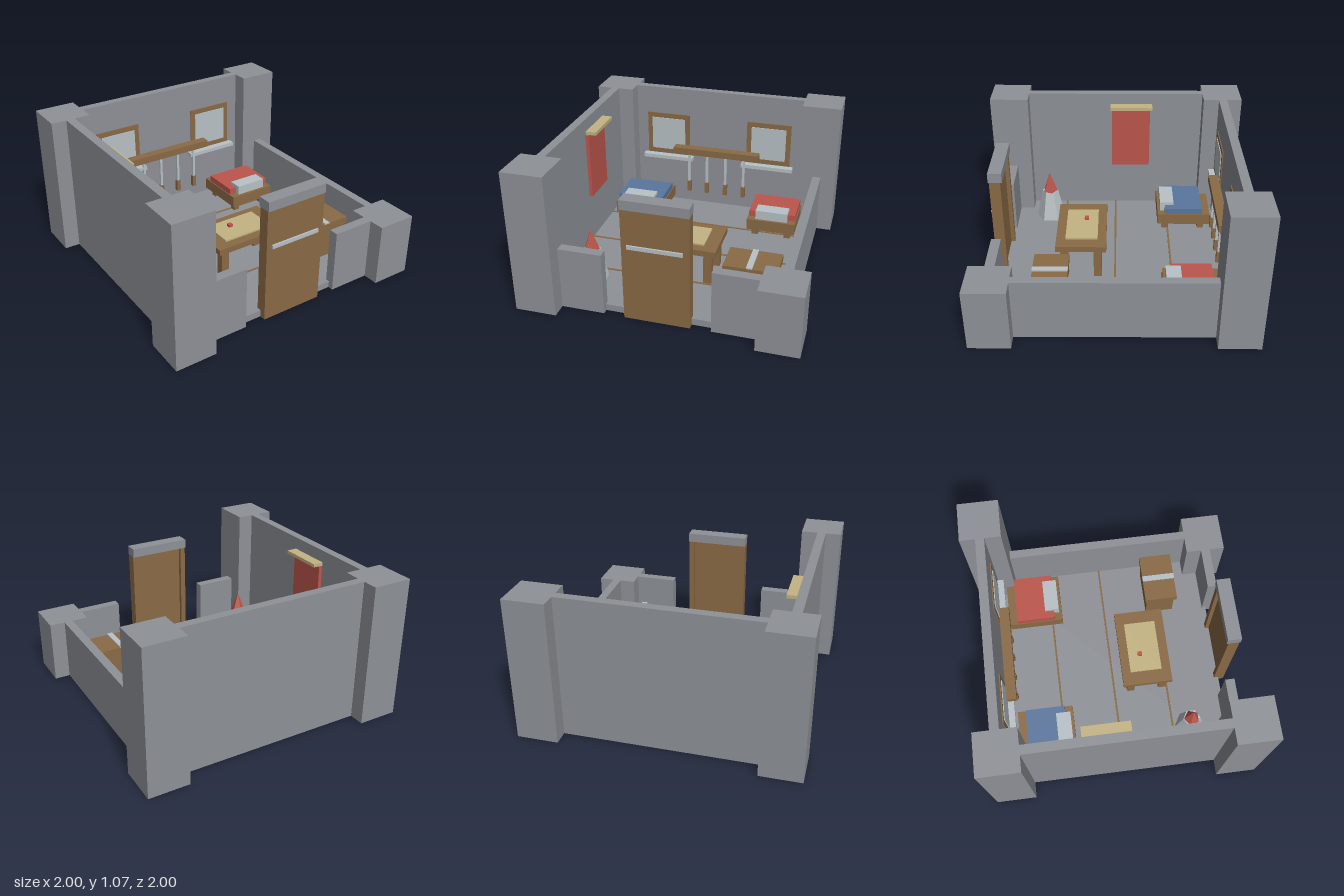
import * as THREE from 'three';

const material = (name, color) => {
  const m = new THREE.MeshStandardMaterial({ color });
  m.name = name;
  return m;
};

export function createModel() {
  const stone = material('stone', 0x8e9197);
  const wood = material('wood', 0x8a6a45);
  const red = material('red cloth', 0xbc564c);
  const blue = material('blue cloth', 0x5a769e);
  const cream = material('parchment', 0xc4b483);
  const pale = material('pale metal', 0xb9c2c7);

  const model = new THREE.Group();
  model.name = 'guardRoom';

  // Box given by its lower and upper limits on each axis
  const box = (name, mat, [x0, x1], [y0, y1], [z0, z1], parent = model) => {
    const mesh = new THREE.Mesh(new THREE.BoxGeometry(x1 - x0, y1 - y0, z1 - z0), mat);
    mesh.position.set((x0 + x1) / 2, (y0 + y1) / 2, (z0 + z1) / 2);
    mesh.name = name;
    parent.add(mesh);
    return mesh;
  };
  const group = (name) => {
    const g = new THREE.Group();
    g.name = name;
    model.add(g);
    return g;
  };

  const FLOOR = 0.05, HIGH = 1.065, LOW = 0.47;

  // Floor with thin wooden strips
  box('floor', stone, [-0.85, 0.85], [0, FLOOR], [-0.85, 0.845]);
  for (const z of [-0.43, 0, 0.42])
    box('floorStrip', wood, [-0.82, 0.82], [FLOOR, 0.055], [z - 0.007, z + 0.007]);

  // Corner pillars, one cut low
  for (const sx of [-1, 1]) for (const sz of [-1, 1]) {
    const height = sx > 0 && sz > 0 ? LOW : HIGH;
    const span = (s) => (s > 0 ? [0.7, 1] : [-1, -0.7]);
    box('cornerPillar', stone, span(sx), [0, height], span(sz));
  }

  // Walls: high at the back and right side, low at the left side and front
  box('backWall', stone, [-0.7, 0.7], [0, HIGH], [-0.885, -0.82]);
  box('rightWall', stone, [-0.885, -0.82], [0, HIGH], [-0.7, 0.7]);
  box('leftWall', stone, [0.82, 0.885], [0, LOW], [-0.7, 0.7]);
  box('frontWallRight', stone, [-0.7, -0.385], [0, LOW], [0.815, 0.885]);
  box('frontWallLeft', stone, [0.38, 0.7], [0, LOW], [0.815, 0.885]);

  // Door with back posts, stone lintel and bar
  const door = group('door');
  box('doorPanel', wood, [-0.235, 0.235], [0, 0.85], [0.84, 0.89], door);
  for (const s of [-1, 1])
    box('doorPost', wood, [s * 0.215 - 0.02, s * 0.215 + 0.02], [0, 0.85], [0.81, 0.84], door);
  box('doorLintel', stone, [-0.235, 0.235], [0.85, 0.92], [0.797, 0.897], door);
  box('doorBar', pale, [-0.195, 0.19], [0.562, 0.59], [0.89, 0.902], door);

  // Windows with frames and sills
  for (const s of [-1, 1]) {
    const win = group('window');
    const cx = s * 0.4275;
    box('windowFrame', wood, [cx - 0.1825, cx + 0.1825], [0.48, 0.84], [-0.82, -0.812], win);
    box('windowPane', pale, [cx - 0.143, cx + 0.143], [0.522, 0.8], [-0.812, -0.806], win);
    box('windowSill', pale, [s * 0.425 - 0.215, s * 0.425 + 0.215], [0.445, 0.475], [-0.82, -0.765], win);
  }

  // Rack beam with hanging blades
  const rack = group('weaponRack');
  box('rackBeam', wood, [-0.365, 0.36], [0.52, 0.575], [-0.81, -0.735], rack);
  for (const x of [-0.235, -0.08, 0.08, 0.235]) {
    box('blade', pale, [x - 0.01, x + 0.01], [0.265, 0.52], [-0.78, -0.76], rack);
    box('bladeHandle', wood, [x - 0.016, x + 0.016], [0.17, 0.265], [-0.786, -0.754], rack);
  }

  // Beds
  const bed = (cx, cloth) => {
    const g = group('bed');
    box('bedFrame', wood, [cx - 0.192, cx + 0.192], [0.11, 0.2], [-0.77, -0.345], g);
    box('blanket', cloth, [cx - 0.185, cx + 0.185], [0.2, 0.25], [-0.705, -0.405], g);
    box('pillow', pale, [cx - 0.127, cx + 0.127], [0.2, 0.275], [-0.475, -0.365], g);
    for (const s of [-1, 1]) for (const z of [-0.7, -0.41])
      box('bedLeg', wood, [cx + s * 0.13 - 0.025, cx + s * 0.13 + 0.025], [FLOOR, 0.11], [z - 0.025, z + 0.025], g);
  };
  bed(-0.557, blue);
  bed(0.552, red);

  // Wall banner under its rail
  box('banner', red, [-0.82, -0.793], [0.43, 0.94], [-0.28, 0.03]);
  box('bannerRail', cream, [-0.81, -0.73], [0.955, 0.98], [-0.295, 0.043]);

  // Table with map and marker
  const table = group('table');
  box('tableTop', wood, [-0.3, 0.295], [0.295, 0.34], [0.065, 0.44], table);
  for (const sx of [-1, 1]) for (const z of [0.13, 0.38])
    box('tableLeg', wood, [sx * 0.23 - 0.03, sx * 0.23 + 0.03], [FLOOR, 0.295], [z - 0.03, z + 0.03], table);
  box('map', cream, [-0.2, 0.195], [0.34, 0.352], [0.13, 0.37], table);
  box('mapMarker', red, [-0.08, -0.048], [0.352, 0.372], [0.203, 0.235], table);

  // Chest with lid and strap
  const chest = group('chest');
  box('chestBody', wood, [0.4, 0.745], [FLOOR, 0.29], [0.345, 0.565], chest);
  box('chestLid', wood, [0.38, 0.762], [0.29, 0.34], [0.33, 0.582], chest);
  box('chestStrap', pale, [0.545, 0.588], [0.34, 0.35], [0.33, 0.584], chest);

  // Brazier: six-sided stand with a five-sided flame
  const brazier = group('brazier');
  const stand = new THREE.Mesh(new THREE.CylinderGeometry(0.065, 0.115, 0.24, 6).toNonIndexed(), pale);
  stand.geometry.computeVertexNormals();
  stand.name = 'brazierStand';
  stand.position.set(-0.6, 0.17, 0.545);
  const flame = new THREE.Mesh(new THREE.ConeGeometry(0.06, 0.165, 5).toNonIndexed(), red);
  flame.geometry.computeVertexNormals();
  flame.name = 'flame';
  flame.position.set(-0.6, 0.3725, 0.545);
  flame.rotation.y = Math.PI;
  brazier.add(stand, flame);

  return model;
}
